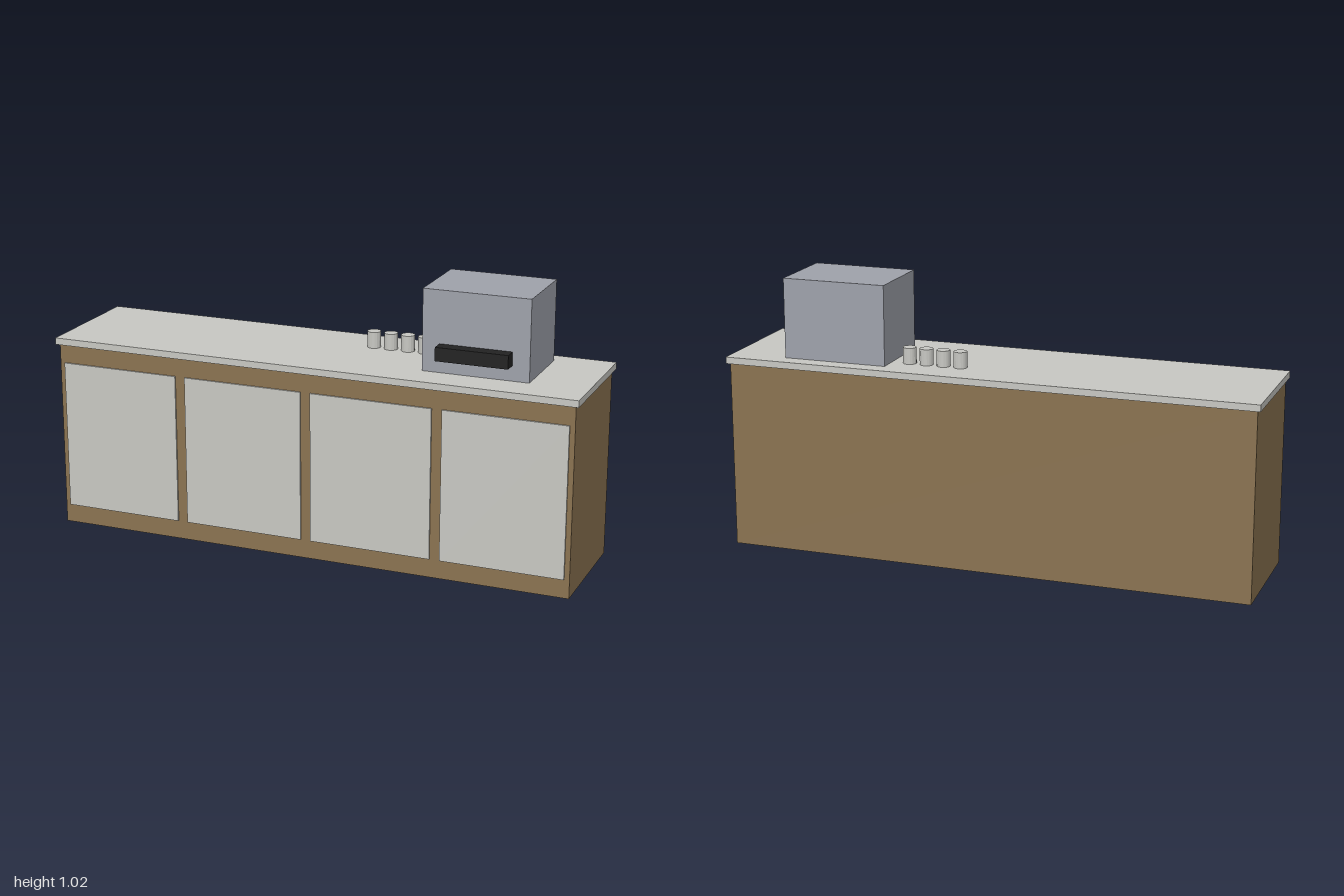
import * as THREE from 'three';

const material = (name, color, extra = {}) => {
  const m = new THREE.MeshStandardMaterial({ color, ...extra });
  m.name = name;
  return m;
};

export function createModel() {
  const wood = material('wood', 0x8b7351);
  const stone = material('pale stone', 0xc8c8c3);
  const metal = material('grey metal', 0x9fa2ab);
  const black = material('black', 0x222222);

  const model = new THREE.Group();
  model.name = 'counterWithCoffeeMachine';

  // Adds a box given its lower and upper corners
  const box = (name, mat, [x0, y0, z0], [x1, y1, z1]) => {
    const mesh = new THREE.Mesh(new THREE.BoxGeometry(x1 - x0, y1 - y0, z1 - z0), mat);
    mesh.position.set((x0 + x1) / 2, (y0 + y1) / 2, (z0 + z1) / 2);
    mesh.name = name;
    model.add(mesh);
  };

  // Cabinet and worktop
  box('cabinet', wood, [-0.988, 0, -0.231], [0.988, 0.7, 0.231]);
  box('worktop', stone, [-1, 0.7, -0.243], [1, 0.725, 0.243]);

  // Four door panels across the front
  for (let i = 0; i < 4; i++) {
    const x = (i - 1.5) * 0.494;
    box(`door${i + 1}`, stone, [x - 0.228, 0.07, 0.231], [x + 0.228, 0.63, 0.237]);
  }

  // Coffee machine with its projecting front unit
  box('machineBody', metal, [0.395, 0.725, -0.18], [0.788, 1.023, 0.116]);
  box('machineFront', black, [0.459, 0.78, 0.116], [0.725, 0.83, 0.165]);

  // Row of cups beside the machine
  const cupGeometry = new THREE.CylinderGeometry(0.025, 0.025, 0.06, 16).toNonIndexed();
  cupGeometry.computeVertexNormals();
  for (let i = 0; i < 4; i++) {
    const cup = new THREE.Mesh(cupGeometry, stone);
    cup.position.set(0.132 + i * 0.0655, 0.755, -0.1);
    cup.name = `cup${i + 1}`;
    model.add(cup);
  }

  return model;
}
